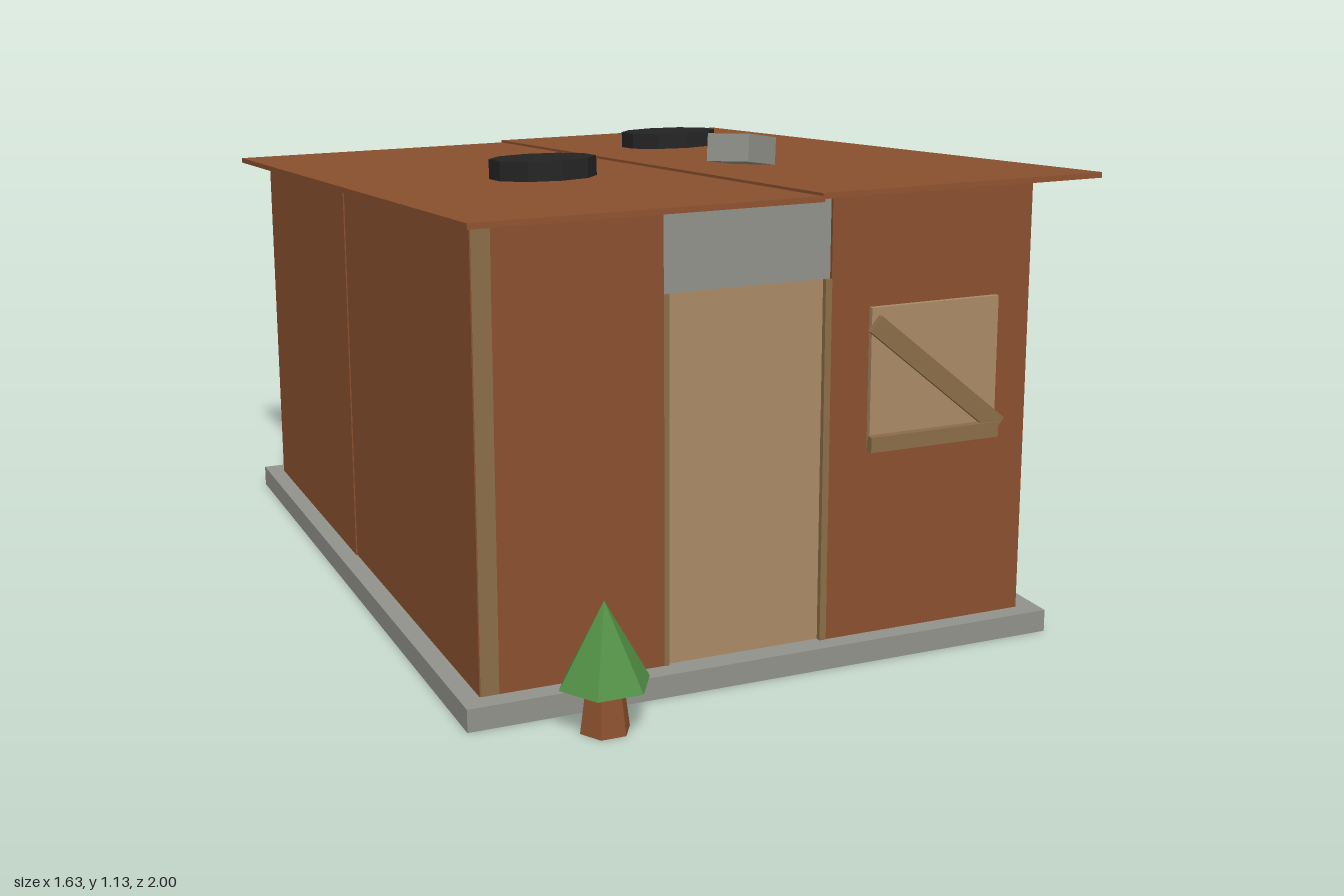
import * as THREE from 'three';

const SLOPE = 0.0773;
const TILT = -Math.atan(SLOPE);
const roofY = (z) => 0.985 + SLOPE * z; // top face of the roof

function paint(name, color) {
  const m = new THREE.MeshStandardMaterial({ color });
  m.name = name;
  return m;
}

export function createModel() {
  const rust = paint('rust brown', 0x8b512f);
  const concrete = paint('concrete grey', 0x92928c);
  const doorWood = paint('light wood', 0xa98b65);
  const plankWood = paint('dark wood', 0x8b6d48);
  const blue = paint('barrel blue', 0x365fa8);
  const rubber = paint('rubber black', 0x242424);
  const leaf = paint('leaf green', 0x528f45);

  const model = new THREE.Group();
  model.name = 'shack';

  function add(name, geometry, material, x = 0, y = 0, z = 0, parent = model) {
    const mesh = new THREE.Mesh(geometry, material);
    mesh.name = name;
    mesh.position.set(x, y, z);
    parent.add(mesh);
    return mesh;
  }

  // Box given by its limits on each axis
  function block(name, material, [x0, x1], [y0, y1], [z0, z1]) {
    return add(name, new THREE.BoxGeometry(x1 - x0, y1 - y0, z1 - z0), material,
      (x0 + x1) / 2, (y0 + y1) / 2, (z0 + z1) / 2);
  }

  // Upright panel whose top edge follows the sloping roof
  function wall(name, material, [x0, x1], [z0, z1], y0 = 0.05) {
    const g = new THREE.BoxGeometry(x1 - x0, 1, z1 - z0);
    g.translate((x0 + x1) / 2, 0, (z0 + z1) / 2);
    const p = g.attributes.position;
    for (let i = 0; i < p.count; i++) {
      p.setY(i, p.getY(i) > 0 ? roofY(p.getZ(i)) - 0.012 : y0);
    }
    g.computeVertexNormals();
    return add(name, g, material);
  }

  // Faceted cylinder or cone
  function prism(top, bottom, height, sides) {
    const g = new THREE.CylinderGeometry(top, bottom, height, sides).toNonIndexed();
    g.computeVertexNormals();
    return g;
  }

  // Foundation
  block('foundation', concrete, [-0.805, 0.56], [0, 0.05], [-0.965, 0.82]);

  // Corner posts
  for (const x of [[-0.76, -0.72], [0.469, 0.509]]) {
    for (const z of [[0.735, 0.772], [-0.913, -0.875]]) wall('cornerPost', plankWood, x, z);
  }

  // Front wall with doorway
  wall('frontWallLeft', rust, [-0.72, -0.355], [0.75, 0.772]);
  wall('frontWallRight', rust, [0.025, 0.511], [0.75, 0.776]);
  wall('lintelPanel', concrete, [-0.355, 0.025], [0.75, 0.768], 0.85);
  block('door', doorWood, [-0.345, 0.012], [0.05, 0.85], [0.745, 0.765]);
  block('doorFrame', plankWood, [-0.355, -0.343], [0.05, 0.85], [0.745, 0.774]);
  block('doorFrame', plankWood, [0.01, 0.025], [0.05, 0.85], [0.745, 0.778]);

  // Side and back walls, with slightly stepped sheets
  wall('rightWallGrey', concrete, [0.49, 0.512], [0.1, 0.738]);
  wall('rightWallMiddle', rust, [0.49, 0.509], [-0.43, 0.1]);
  wall('rightWallBack', rust, [0.49, 0.512], [-0.875, -0.43]);
  wall('leftWallFront', rust, [-0.762, -0.74], [-0.16, 0.77]);
  wall('leftWallBack', rust, [-0.765, -0.74], [-0.91, -0.16]);
  wall('backWallLeft', rust, [-0.755, -0.11], [-0.918, -0.89]);
  wall('backWallRight', rust, [-0.11, 0.505], [-0.915, -0.89]);

  // Two overlapping roof sheets
  for (const [x0, x1, lift] of [[-0.82, -0.08, 0], [-0.085, 0.572, 0.006]]) {
    const sheet = add('roofSheet', new THREE.BoxGeometry(x1 - x0, 0.012, 1.944), rust,
      (x0 + x1) / 2, roofY(-0.03) - 0.006 + lift, -0.03);
    sheet.rotation.x = TILT;
  }

  // Boarded window
  block('windowPane', rubber, [0.125, 0.405], [0.5, 0.75], [0.774, 0.787]);
  block('windowPanel', doorWood, [0.11, 0.42], [0.475, 0.785], [0.787, 0.799]);
  block('windowBoard', plankWood, [0.105, 0.42], [0.473, 0.507], [0.799, 0.817]);
  const brace = add('windowBrace', new THREE.BoxGeometry(0.4, 0.042, 0.015), plankWood,
    0.268, 0.625, 0.8065);
  brace.rotation.z = -0.69;

  // Tyres lying on the roof
  for (const [x, z] of [[-0.375, 0.13], [0.192, -0.458]]) {
    const tyre = add('roofTyre', prism(0.122, 0.122, 0.046, 10), rubber, x, roofY(z) + 0.022, z);
    tyre.rotation.x = TILT;
  }

  // Loose block on the roof
  const brick = add('roofBlock', new THREE.BoxGeometry(0.122, 0.06, 0.102), concrete,
    -0.04, 1.085, 0.472);
  brick.rotation.set(TILT, 0.62, -0.14);

  // Barrels with lids
  for (const z of [-0.243, -0.505]) {
    const barrel = new THREE.Group();
    barrel.name = 'barrel';
    barrel.position.set(0.698, 0, z);
    model.add(barrel);
    add('barrelBody', prism(0.122, 0.122, 0.374, 10), blue, 0, 0.187, 0, barrel);
    add('barrelLid', prism(0.085, 0.085, 0.012, 10), concrete, 0, 0.378, 0, barrel);
  }

  // Planks leaning on the right wall
  const planks = [
    [0.598, 0.403, 0.308, 0.8, 0.1, 0],
    [0.592, 0.383, 0.163, 0.76, 0.083, -0.012],
  ];
  for (const [x, y, z, length, width, twist] of planks) {
    const plank = add('leaningPlank', new THREE.BoxGeometry(0.018, length, width), plankWood, x, y, z);
    plank.rotation.set(twist, 0, 0.19);
  }

  // Small tree
  const tree = new THREE.Group();
  tree.name = 'tree';
  tree.position.set(-0.546, 0, 0.914);
  tree.rotation.y = Math.PI / 6;
  model.add(tree);
  add('treeTrunk', prism(0.04, 0.054, 0.105, 6), rust, 0, 0.0525, 0, tree);
  add('treeCrown', prism(0, 0.098, 0.175, 6), leaf, 0, 0.1875, 0, tree);

  return model;
}
